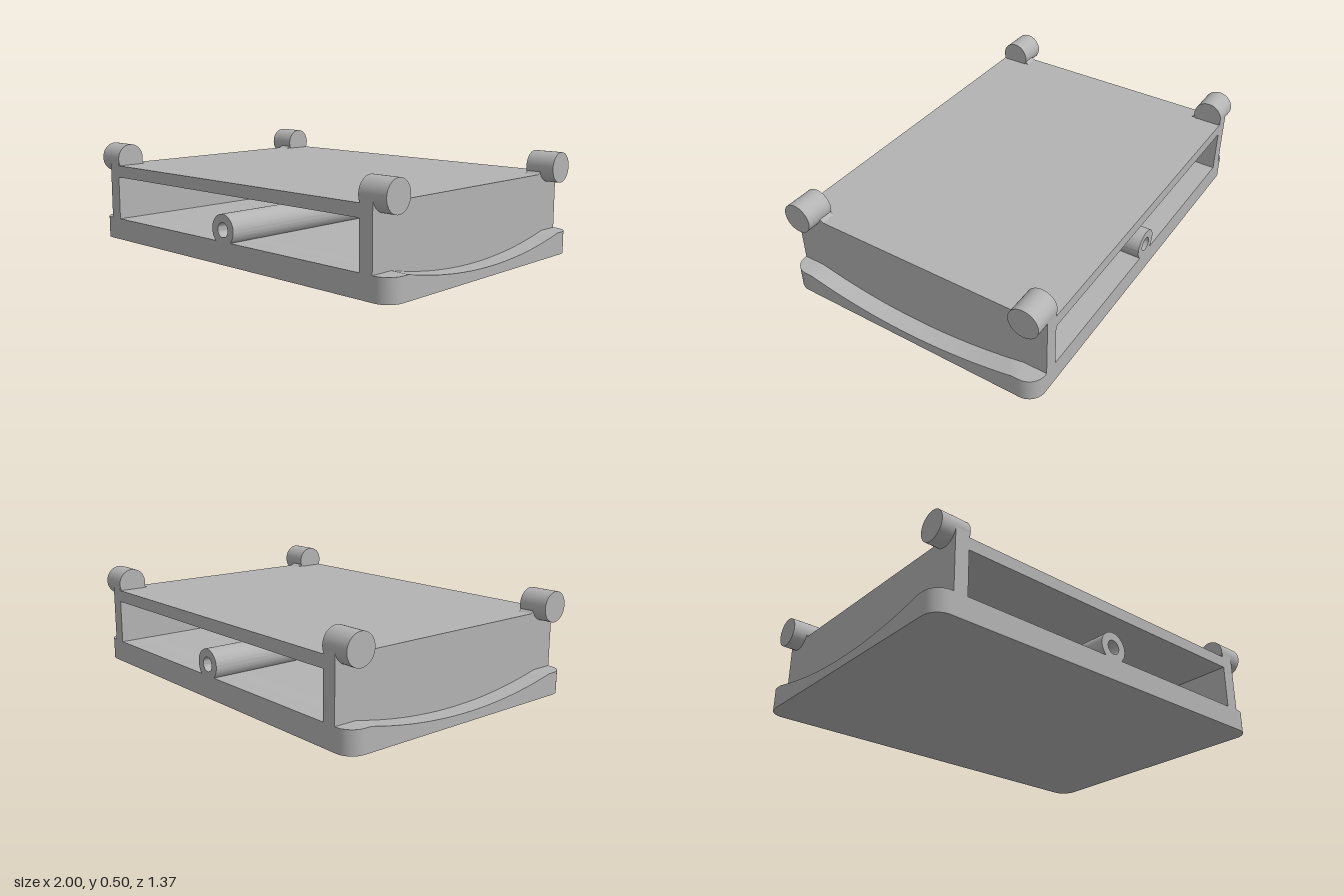
import * as THREE from 'three';
import { toCreasedNormals } from 'three/addons/utils/BufferGeometryUtils.js';

const HALF_X = 1, HALF_Z = 0.685, WALL_X = 0.91, FLOOR = 0.11, CORNER = 0.08;

// Base: cross-sections along z, with rounded corners and a scooped ledge on each side
function baseGeometry() {
  const stations = [];
  for (let i = 0; i <= 10; i++) stations.push(-HALF_Z + CORNER * (1 - Math.cos(i / 10 * Math.PI / 2)));
  for (let i = 0; i <= 32; i++) stations.push(-0.57 + 1.14 * i / 32);
  for (let i = 10; i >= 0; i--) stations.push(HALF_Z - CORNER * (1 - Math.cos(i / 10 * Math.PI / 2)));

  const R = 2.53;
  const section = z => {
    const into = Math.max(0, Math.abs(z) - (HALF_Z - CORNER));
    const x = HALF_X - CORNER + Math.sqrt(Math.max(0, CORNER * CORNER - into * into));
    const y = Math.abs(z) >= 0.57 ? FLOOR
      : Math.min(FLOOR, 0.045 + R - Math.sqrt(R * R - z * z));
    return [[x, 0], [x, y], [WALL_X, y], [WALL_X, FLOOR],
      [-WALL_X, FLOOR], [-WALL_X, y], [-x, y], [-x, 0]].map(p => [p[0], p[1], z]);
  };
  const rings = stations.map(section);
  const pos = [];
  const tri = (a, b, c) => pos.push(...a, ...b, ...c);
  for (let i = 0; i < rings.length - 1; i++) {
    const p = rings[i], q = rings[i + 1];
    for (let j = 0; j < 8; j++) {
      const k = (j + 1) % 8;
      tri(p[j], p[k], q[k]);
      tri(p[j], q[k], q[j]);
    }
  }
  // End caps
  const back = rings[0], front = rings[rings.length - 1];
  for (const [a, b, c] of [[0, 1, 6], [0, 6, 7]]) {
    tri(front[a], front[b], front[c]);
    tri(back[a], back[c], back[b]);
  }
  const g = new THREE.BufferGeometry();
  g.setAttribute('position', new THREE.Float32BufferAttribute(pos, 3));
  return toCreasedNormals(g, 0.4);
}

export function createModel() {
  const model = new THREE.Group();
  model.name = 'tray';
  const grey = new THREE.MeshStandardMaterial({ color: 0xb3b3b3 });
  grey.name = 'grey';

  const add = (name, geometry, x = 0, y = 0, z = 0) => {
    const mesh = new THREE.Mesh(geometry, grey);
    mesh.name = name;
    mesh.position.set(x, y, z);
    model.add(mesh);
    return mesh;
  };

  add('base', baseGeometry());

  // Top plate between the side walls
  add('topPlate', new THREE.BoxGeometry(1.68, 0.06, 2 * HALF_Z), 0, 0.36, 0);

  // Side walls, raised at the ends to carry the rollers
  const profile = new THREE.Shape([
    [-HALF_Z, FLOOR], [HALF_Z, FLOOR], [HALF_Z, 0.42], [0.55, 0.42], [0.54, 0.4], [0.525, 0.39],
    [-0.525, 0.39], [-0.54, 0.4], [-0.55, 0.42], [-HALF_Z, 0.42],
  ].map(p => new THREE.Vector2(...p)));
  const wall = new THREE.ExtrudeGeometry(profile, { depth: 0.07, bevelEnabled: false });
  wall.translate(0, 0, -0.035).rotateY(Math.PI / 2);

  const roller = new THREE.CylinderGeometry(0.074, 0.074, 0.145, 48);
  roller.rotateZ(Math.PI / 2);

  for (const s of [-1, 1]) {
    const side = s > 0 ? 'left' : 'right';
    add(side + 'Wall', wall, s * 0.875);
    for (const e of [-1, 1]) {
      add(side + (e > 0 ? 'Front' : 'Back') + 'Roller', roller, s * 0.9075, 0.423, e * 0.612);
    }
  }

  // Hollow tube along the middle of the floor
  const ring = new THREE.Shape().absarc(0, 0, 0.075, 0, Math.PI * 2, false);
  ring.holes.push(new THREE.Path().absarc(0, 0, 0.035, 0, Math.PI * 2, true));
  const tube = new THREE.ExtrudeGeometry(ring, { depth: 2 * HALF_Z, bevelEnabled: false, curveSegments: 40 });
  add('centreTube', toCreasedNormals(tube, 0.5), 0, 0.165, -HALF_Z);

  return model;
}
